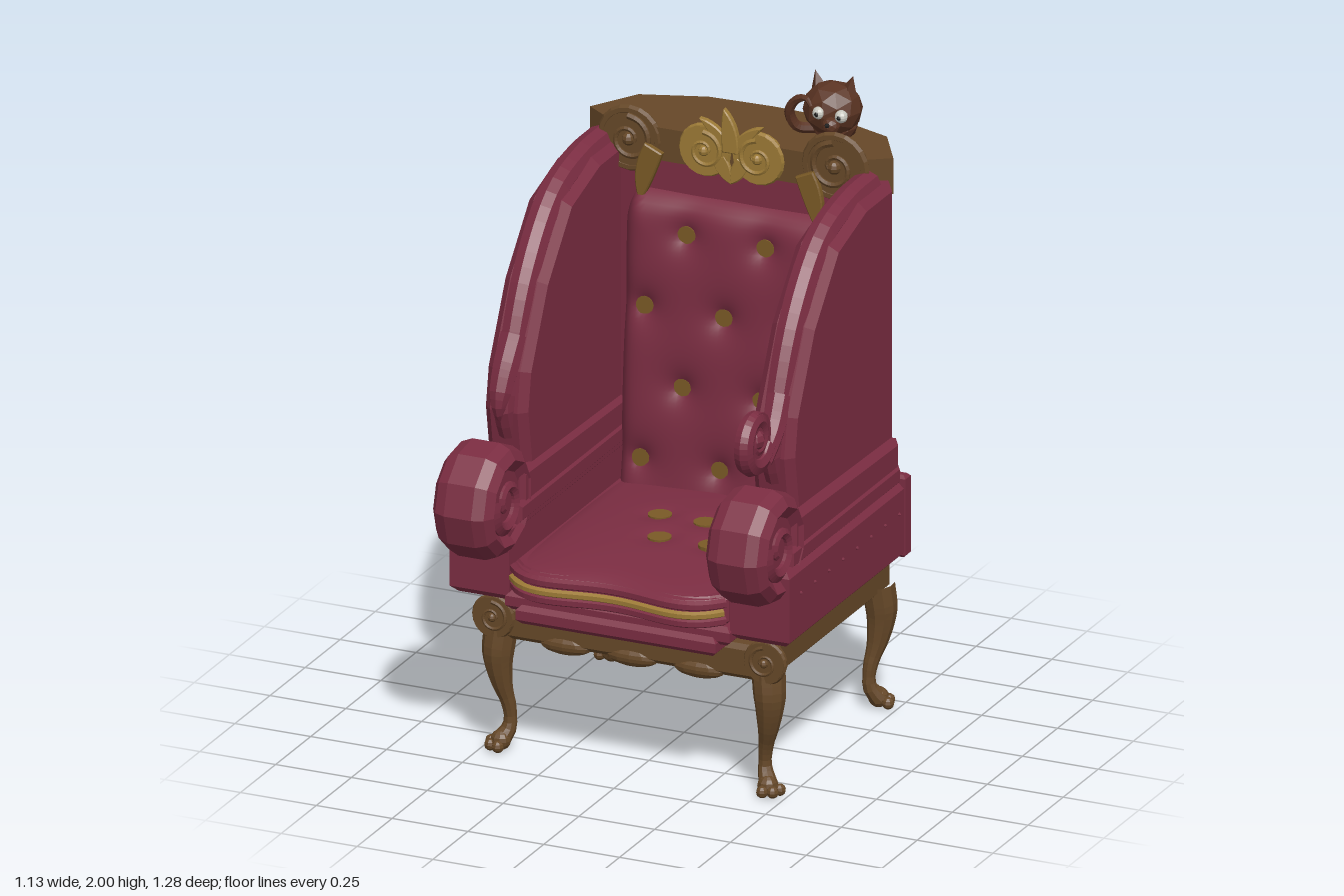
import * as THREE from 'three';

const mat = (color, side = THREE.FrontSide) => new THREE.MeshStandardMaterial({ color, flatShading: true, side });
const velvet = mat(0x7b2d42), wood = mat(0x664828), gold = mat(0x9c7a36), brass = mat(0x7a5a26);
const fur = mat(0x5a3322), white = mat(0xc8c8c0), dark = mat(0x1c1c1c);
const tufted = new THREE.MeshStandardMaterial({ color: 0x7b2d42, side: THREE.DoubleSide });
const V = (x, y, z) => new THREE.Vector3(x, y, z);

export function createModel() {
  const root = new THREE.Group();
  const add = (name, geo, material, x = 0, y = 0, z = 0, parent = root) => {
    const m = new THREE.Mesh(geo, material);
    m.name = name;
    m.position.set(x, y, z);
    parent.add(m);
    return m;
  };
  const poly = pts => new THREE.Shape(pts.map(p => new THREE.Vector2(p[0], p[1])));
  // Bevelled slab whose overall thickness is t, centred on its depth
  const slab = (shape, t, b) => new THREE.ExtrudeGeometry(shape, {
    depth: t - 2 * b, bevelEnabled: b > 0, bevelSize: b, bevelThickness: b, bevelSegments: 1, curveSegments: 8,
  }).translate(0, 0, b - t / 2);
  const sideSlab = (pts, t, b) => slab(poly(pts), t, b).rotateY(-Math.PI / 2); // points are (z, y)
  const planSlab = (pts, t, b) => slab(poly(pts), t, b).rotateX(Math.PI / 2); // points are (x, z)
  const block = (x0, x1, y0, y1, z0, z1, b) => planSlab(
    [[x0 + b, z0 + b], [x1 - b, z0 + b], [x1 - b, z1 - b], [x0 + b, z1 - b]], y1 - y0, b).translate(0, (y0 + y1) / 2, 0);
  // Tube whose radius follows a list of values
  const sweep = (pts, radii, n = 24, sides = 8) => {
    const curve = new THREE.CatmullRomCurve3(pts);
    const g = new THREE.TubeGeometry(curve, n, 1, sides);
    const p = g.attributes.position, v = V();
    for (let i = 0; i <= n; i++) {
      const c = curve.getPointAt(i / n), f = i / n * (radii.length - 1), k = Math.min(Math.floor(f), radii.length - 2);
      const r = THREE.MathUtils.lerp(radii[k], radii[k + 1], f - k);
      for (let j = 0; j <= sides; j++) {
        const q = i * (sides + 1) + j;
        v.fromBufferAttribute(p, q).sub(c).multiplyScalar(r).add(c);
        p.setXYZ(q, v.x, v.y, v.z);
      }
    }
    g.computeVertexNormals();
    return g;
  };
  const spiral = (r, turns, dir, start) => Array.from({ length: 18 }, (_, i) => {
    const t = i / 17, a = start + dir * t * turns * Math.PI * 2, q = r * (1 - 0.75 * t);
    return V(Math.cos(a) * q, Math.sin(a) * q, 0);
  });
  const disc = (r, t, n = 18) => new THREE.CylinderGeometry(r, r, t, n).rotateX(Math.PI / 2);
  // Carved volute facing the front
  const volute = (name, x, y, z, r, dir, m) => {
    const g = new THREE.Group();
    g.name = name;
    g.position.set(x, y, z);
    add('voluteDisc', disc(r * 0.92, 0.03), m, 0, 0, 0, g);
    add('voluteRim', new THREE.TorusGeometry(r * 0.88, r * 0.13, 6, 20), m, 0, 0, 0.005, g);
    add('voluteSpiral', sweep(spiral(r * 0.72, 1.3, dir, 1.6), [r * 0.11, r * 0.07], 32, 6), m, 0, 0, 0.015, g);
    add('voluteEye', new THREE.SphereGeometry(r * 0.2, 8, 6), m, 0, 0, 0.015, g);
    root.add(g);
  };
  const leaf = (len, w, bend) => {
    const s = new THREE.Shape().moveTo(-w, 0);
    s.quadraticCurveTo(-w * 1.3, len * 0.6, bend, len);
    s.quadraticCurveTo(w * 1.3, len * 0.6, w, 0);
    return slab(s, 0.024, 0.004);
  };

  // Wooden base with scalloped apron
  add('baseFrame', block(-0.46, 0.46, 0.37, 0.48, -0.47, 0.385, 0.015), wood);
  for (const x of [-0.22, 0, 0.22])
    add('apronScallop', new THREE.SphereGeometry(1, 12, 8).scale(0.085, 0.03, 0.025), wood, x, 0.378, 0.37);

  // Cabriole legs with clawed feet
  for (const s of [-1, 1]) {
    volute('baseVolute', s * 0.448, 0.44, 0.385, 0.07, s, wood);
    for (const [zc, f] of [[0.35, 1], [-0.43, -1]]) {
      const at = (o, y) => V(s * (0.44 + o), y, zc + f * o);
      add('leg', sweep([at(0, 0.4), at(0.008, 0.31), at(0, 0.22), at(-0.018, 0.13), at(-0.018, 0.07), at(0.002, 0.03)],
        [0.052, 0.05, 0.038, 0.025, 0.019, 0.03], 18, 10), wood);
      add('foot', new THREE.SphereGeometry(0.032, 10, 8), wood, s * 0.44, 0.032, zc + f * 0.005);
      for (const a of [-0.9, 0, 0.9]) {
        const t = Math.atan2(f, s) + a;
        add('claw', new THREE.SphereGeometry(0.019, 8, 6), wood,
          s * 0.44 + Math.cos(t) * 0.036, 0.02, zc + Math.sin(t) * 0.036);
      }
    }
  }

  // Seat rails and serpentine cushion
  add('lowerSeatRail', block(-0.33, 0.33, 0.47, 0.53, -0.33, 0.49, 0.015), velvet);
  add('upperSeatRail', block(-0.37, 0.37, 0.505, 0.565, -0.33, 0.475, 0.015), velvet);
  const front = x => 0.505 + 1.25 * x * x - 14.2 * x ** 4;
  const xs = Array.from({ length: 21 }, (_, i) => -0.34 + i * 0.034);
  add('seatCushion', planSlab([[-0.34, -0.28], [0.34, -0.28], ...xs.slice().reverse().map(x => [x, front(x) - 0.02])], 0.1, 0.015), velvet, 0, 0.612);
  const seatButtons = [[-0.075, 0.01], [0.075, 0.01], [0, 0.175], [0.165, 0.17]];
  const top = new THREE.PlaneGeometry(1, 1, 28, 28);
  const seatY = (u, v) => 0.655 + 0.045 * Math.pow(Math.max(0, Math.sin(Math.PI * u) * Math.sin(Math.PI * (0.12 + 0.88 * v))), 0.5);
  const tp = top.attributes.position;
  for (let i = 0; i < tp.count; i++) {
    const u = tp.getX(i) + 0.5, v = tp.getY(i) + 0.5, x = (u - 0.5) * 0.69;
    const z = THREE.MathUtils.lerp(front(x) - 0.005, -0.26, v);
    const pit = seatButtons.reduce((a, b) => a + 0.015 * Math.exp(-((x - b[0]) ** 2 + (z - b[1]) ** 2) / 0.002), 0);
    tp.setXYZ(i, x, seatY(u, 1 - v) - pit, z);
  }
  top.computeVertexNormals();
  add('cushionTop', top, tufted);
  for (const [x, z] of seatButtons) add('seatButton', new THREE.CylinderGeometry(0.037, 0.037, 0.012, 14), brass, x, 0.69, z);
  for (const [y, r, o, m] of [[0.64, 0.016, 0, velvet], [0.613, 0.013, 0.012, gold], [0.585, 0.016, 0, velvet]])
    add('cushionPiping', sweep(xs.map(x => V(x * 1.02, y, front(x) + o)), [r, r], 32, 6), m);

  // Curved outer back and wooden crest
  const outline = k => [[-0.5, -0.41], [-0.41, -0.56], [-0.21, -0.63], [0, -0.64], [0.21, -0.63], [0.41, -0.56], [0.5, -0.41]]
    .map(([x, z]) => [x * k, z * k]);
  add('outerBack', planSlab([...outline(0.985), [0.49, -0.37], [0.3, -0.34], [-0.3, -0.34], [-0.49, -0.37]], 1.15, 0), velvet, 0, 1.105);
  add('crestRail', planSlab([...outline(1), [0.4, -0.34], [-0.4, -0.34]], 0.115, 0), wood, 0, 1.7275);

  // Button-tufted inner back
  const buttons = [];
  for (const y of [1.47, 0.99]) buttons.push([-0.13, y], [0.13, y]);
  for (const y of [1.23, 0.75]) buttons.push([-0.26, y], [0, y], [0.26, y]);
  const backZ = y => THREE.MathUtils.mapLinear(y, 0.62, 1.58, -0.215, -0.275);
  const pad = new THREE.PlaneGeometry(0.7, 0.98, 48, 64).translate(0, 1.11, 0);
  const pp = pad.attributes.position;
  for (let i = 0; i < pp.count; i++) {
    let x = pp.getX(i), y = pp.getY(i);
    const pit = buttons.reduce((a, b) => a + 0.05 * Math.exp(-Math.hypot(x - b[0], y - b[1]) / 0.05), 0);
    const rim = Math.max(Math.abs(x) / 0.35, (y - 1.11) / 0.49);
    const z = backZ(y) - pit - 0.09 * Math.pow(Math.max(0, rim), 14);
    if (y > 1.48) x *= 1 - 0.14 * ((y - 1.48) / 0.12) ** 2;
    pp.setXYZ(i, x, y, z);
  }
  pad.computeVertexNormals();
  add('tuftedBack', pad, tufted);
  for (const [x, y] of buttons) add('backButton', disc(0.03, 0.025, 14), brass, x, y, backZ(y) - 0.042);

  // Wings and arms
  for (const s of [-1, 1]) {
    add('wing', sideSlab([[-0.38, 0.55], [0.27, 0.55], [0.28, 0.9], [0.31, 1.08], [0.29, 1.2], [0.17, 1.44],
      [0, 1.63], [-0.2, 1.69], [-0.38, 1.69]], 0.14, 0.025), velvet, s * 0.44);
    const rim = [[-0.36, 1.71], [-0.2, 1.705], [0, 1.65], [0.18, 1.46], [0.3, 1.2], [0.335, 1.1], [0.3, 1.0]];
    add('wingRim', sweep(rim.map(p => V(0, p[1], p[0])), [0.045, 0.045, 0.045, 0.04, 0.03], 24, 8), velvet, s * 0.44);
    add('armBase', block(0.365, 0.56, 0.525, 0.77, -0.385, 0.46, 0.02), velvet, s < 0 ? -0.925 : 0);
    add('armBackPost', block(0.365, 0.565, 0.525, 0.79, -0.395, -0.355, 0.01), velvet, s < 0 ? -0.93 : 0);
    add('armTop', sideSlab([[-0.36, 0.75], [0.36, 0.75], [0.36, 0.9], [-0.36, 0.885]], 0.185, 0.015), velvet, s * 0.447);
    add('armWelt', sideSlab([[-0.355, 0.77], [0.4, 0.77], [0.4, 0.81], [-0.355, 0.81]], 0.2, 0.012), velvet, s * 0.447);
    for (let i = 0; i < 8; i++) add('armStud', new THREE.SphereGeometry(0.006, 6, 4), velvet, s * 0.561, 0.68, 0.38 - i * 0.1);
    // Barrel-shaped arm roll with a spiral on each side
    const profile = [[0, -0.075], [0.1, -0.075], [0.135, -0.1], [0.165, -0.08], [0.18, -0.045], [0.18, 0.045], [0.165, 0.08],
      [0.135, 0.1], [0.1, 0.075], [0, 0.075]].map(p => new THREE.Vector2(...p));
    add('armRoll', new THREE.LatheGeometry(profile, 11).rotateZ(Math.PI / 2), velvet, s * 0.45, 0.845, 0.465);
    for (const e of [-1, 1]) {
      add('armSpiral', sweep(spiral(0.095, 1.2, -1, 0.4), [0.028, 0.014], 28, 6).rotateY(-Math.PI / 2),
        velvet, s * 0.45 + e * 0.075, 0.845, 0.465);
    }
  }
  // Scroll ending the wing on one side, plain tip on the other
  const curl = new THREE.Group();
  curl.name = 'wingScroll';
  curl.position.set(0.45, 1.19, 0.475);
  add('scrollCurl', sweep(spiral(0.092, 1.5, 1, Math.PI + 0.5), [0.034, 0.03, 0.02], 40, 8).rotateY(-Math.PI / 2), velvet, 0, 0, 0, curl);
  add('scrollCore', new THREE.CylinderGeometry(0.085, 0.085, 0.035, 16).rotateZ(Math.PI / 2), velvet, 0, 0, 0, curl);
  add('scrollEye', new THREE.SphereGeometry(0.035, 8, 6), velvet, 0, 0, 0, curl);
  root.add(curl);
  add('scrollNeck', sweep([V(0.445, 1.26, 0.28), V(0.45, 1.17, 0.34), V(0.45, 1.1, 0.42)], [0.04, 0.034], 8), velvet);
  add('wingTip', sweep([V(-0.44, 1.3, 0.26), V(-0.445, 1.18, 0.33), V(-0.445, 1.1, 0.36), V(-0.445, 1.06, 0.35)],
    [0.045, 0.043, 0.036, 0.01], 12), velvet);

  // Carved crest ornament
  volute('crestVolute', -0.338, 1.735, -0.35, 0.105, -1, wood);
  volute('crestVolute', 0.34, 1.755, -0.35, 0.11, 1, wood);
  for (const s of [-1, 1]) {
    volute('centreVolute', s * 0.088, 1.74, -0.345, 0.085, s, gold);
    add('crestLeaf', leaf(0.11, 0.016, s * 0.035), gold, s * 0.02, 1.755, -0.34).rotation.z = -s * 0.45;
    add('sideLeaf', leaf(0.17, 0.028, s * 0.03), brass, s * 0.25, 1.72, -0.325).rotation.z = Math.PI + s * 0.42;
    add('lowerLeaf', leaf(0.08, 0.02, 0), gold, s * 0.04, 1.72, -0.34).rotation.z = Math.PI - s * 0.5;
  }
  add('crestFinial', leaf(0.13, 0.022, -0.02), gold, 0, 1.75, -0.335);

  // Small cat perched on the crest
  const cat = new THREE.Group();
  cat.name = 'cat';
  cat.position.set(0.275, 1.89, -0.465);
  add('catHead', new THREE.IcosahedronGeometry(0.092, 1).scale(1, 0.93, 0.95), fur, 0, 0, 0, cat);
  add('catBody', new THREE.IcosahedronGeometry(0.07, 1).scale(1, 0.75, 1), fur, 0, -0.06, -0.015, cat);
  add('catMuzzle', new THREE.IcosahedronGeometry(0.028, 1), fur, 0.03, -0.025, 0.078, cat);
  add('catNose', new THREE.SphereGeometry(0.008, 6, 4), dark, 0.03, -0.015, 0.106, cat);
  for (const s of [-1, 1]) {
    add('catEar', new THREE.ConeGeometry(0.028, 0.06, 4), fur, s * 0.055, 0.08, -0.01, cat).rotation.z = -s * 0.25;
    add('catEye', new THREE.SphereGeometry(0.02, 10, 8), white, 0.027 + s * 0.037, 0.01, 0.078, cat);
    add('catPupil', new THREE.SphereGeometry(0.009, 8, 6), dark, 0.027 + s * 0.037, 0.01, 0.091, cat);
  }
  add('catTail', sweep([V(-0.04, -0.07, 0), V(-0.1, -0.06, 0.04), V(-0.115, -0.01, 0.06), V(-0.09, 0.035, 0.07), V(-0.05, 0.05, 0.08),
    V(-0.03, 0.03, 0.09)], [0.018, 0.017, 0.016, 0.013, 0.006], 20, 7), fur, 0, 0, 0, cat);
  root.add(cat);

  return root;
}
